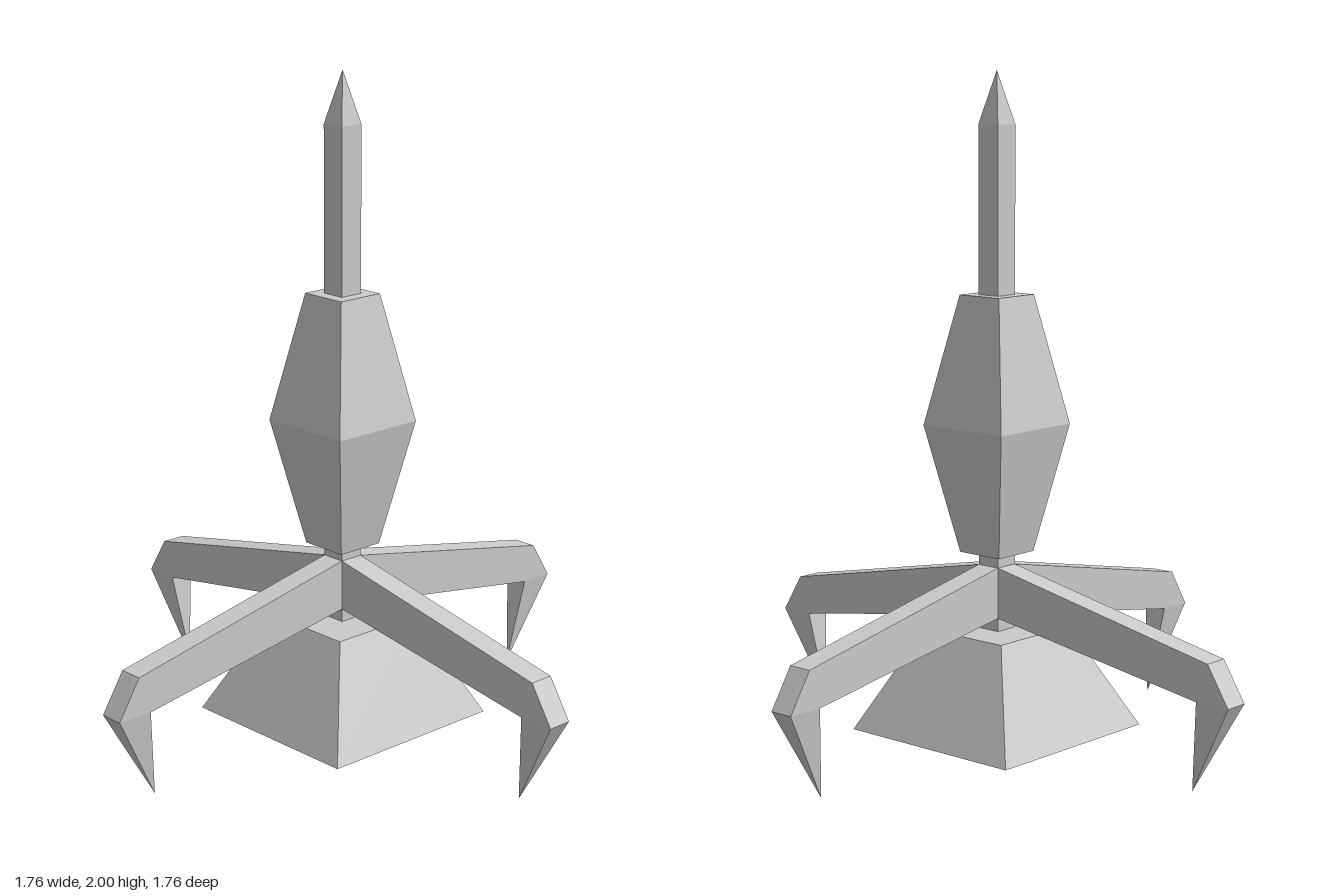
import * as THREE from 'three';

const material = new THREE.MeshStandardMaterial({
  color: 0xcccccc, flatShading: true, side: THREE.DoubleSide,
});
const HALF = 0.038; // half width of the mast and legs

function part(name, geometry) {
  const mesh = new THREE.Mesh(geometry, material);
  mesh.name = name;
  return mesh;
}

// Square frustum between two heights, given the half width at each end
function frustum(name, y0, half0, y1, half1, open = false) {
  const g = new THREE.CylinderGeometry(half1 * Math.SQRT2, half0 * Math.SQRT2, y1 - y0, 4, 1, open);
  g.rotateY(Math.PI / 4).translate(0, (y0 + y1) / 2, 0);
  return part(name, g);
}

// Flat profile in the xy plane, thickened evenly about z = 0
function slab(points) {
  const shape = new THREE.Shape(points.map(([x, y]) => new THREE.Vector2(x, y)));
  const g = new THREE.ExtrudeGeometry(shape, { depth: 2 * HALF, bevelEnabled: false });
  return g.translate(0, 0, -HALF);
}

function makeLeg() {
  const leg = new THREE.Group();
  leg.name = 'leg';

  // Sloping arm with a bevelled knee
  leg.add(part('arm', slab([[HALF, 0.39], [0.772, 0.273], [0.882, 0.273], [0.81, 0.388], [HALF, 0.543]])));

  // Claw: the profile is pinched to a single point at its tip
  const claw = slab([[0.772, 0.273], [0.735, 0], [0.882, 0.273]]);
  const p = claw.attributes.position;
  for (let i = 0; i < p.count; i++) if (p.getY(i) < 0.1) p.setZ(i, 0);
  claw.computeVertexNormals();
  leg.add(part('claw', claw));
  return leg;
}

export function createModel() {
  const model = new THREE.Group();
  model.name = 'clawedSpire';

  // Hollow base, closed on top and open underneath
  model.add(frustum('baseSkirt', 0.042, 0.305, 0.35, 0.153, true));
  const lid = new THREE.PlaneGeometry(0.306, 0.306).rotateX(-Math.PI / 2).translate(0, 0.35, 0);
  model.add(part('baseTop', lid));

  // Central mast, swollen body and pointed spire
  model.add(frustum('mast', 0.35, HALF, 0.6, HALF));
  model.add(frustum('lowerBody', 0.582, 0.077, 0.965, 0.153));
  model.add(frustum('upperBody', 0.965, 0.153, 1.35, 0.077));
  model.add(frustum('spire', 1.34, HALF, 1.845, HALF));
  model.add(frustum('spireTip', 1.845, HALF, 2, 0));

  // Four clawed legs
  for (let i = 0; i < 4; i++) {
    const leg = makeLeg();
    leg.rotation.y = (i * Math.PI) / 2;
    model.add(leg);
  }
  return model;
}
